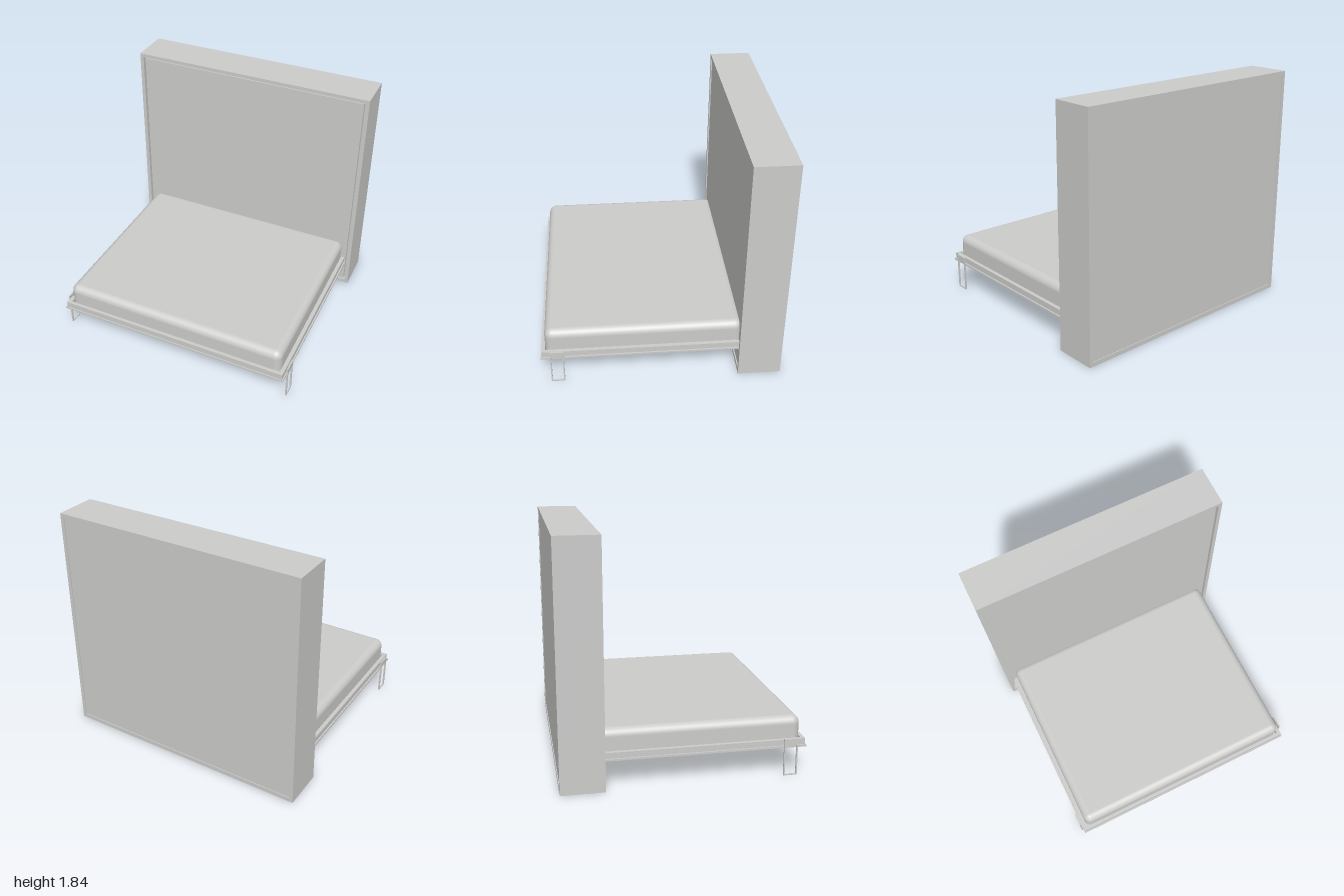
import * as THREE from 'three';
import { RoundedBoxGeometry } from 'three/addons/geometries/RoundedBoxGeometry.js';

export function createModel() {
  const grey = new THREE.MeshStandardMaterial({ color: 0xcccccb });
  grey.name = 'light grey';
  const model = new THREE.Group();
  model.name = 'wallBed';

  // Box given by its min and max corners
  function box(name, x0, x1, y0, y1, z0, z1, parent) {
    const mesh = new THREE.Mesh(new THREE.BoxGeometry(x1 - x0, y1 - y0, z1 - z0), grey);
    mesh.position.set((x0 + x1) / 2, (y0 + y1) / 2, (z0 + z1) / 2);
    mesh.name = name;
    parent.add(mesh);
    return mesh;
  }
  function group(name) {
    const g = new THREE.Group();
    g.name = name;
    model.add(g);
    return g;
  }

  // Cabinet: carcass around front and back panels, with a narrow shadow gap at the front
  const cabinet = group('cabinet');
  const back = -0.92, front = -0.59;
  box('rightSide', -1, -0.97, 0, 1.84, back, front, cabinet);
  box('leftSide', 0.97, 1, 0, 1.84, back, front, cabinet);
  box('topBoard', -0.97, 0.97, 1.81, 1.84, back, front, cabinet);
  box('bottomBoard', -0.97, 0.97, 0, 0.035, back, front, cabinet);
  box('frontPanel', -0.956, 0.956, 0.04, 1.8, -0.63, front - 0.008, cabinet);
  box('innerBoard', -0.97, 0.97, 0.035, 1.81, -0.65, -0.63, cabinet);
  box('backPanel', -0.97, 0.97, 0.035, 1.81, back + 0.006, -0.9, cabinet);

  // Bed frame: base board with rails set in from its edge
  const frame = group('bedFrame');
  box('baseBoard', -0.956, 0.956, 0.215, 0.23, -0.62, 0.92, frame);
  box('frontRail', -0.945, 0.945, 0.23, 0.277, 0.885, 0.912, frame);
  for (const s of [-1, 1]) {
    const x = s * 0.93;
    box(s > 0 ? 'leftRail' : 'rightRail', x - 0.015, x + 0.015, 0.23, 0.275, -0.62, 0.885, frame);
  }

  // Folding legs: thin rectangular loops hung from side plates
  for (const s of [-1, 1]) {
    const leg = group(s > 0 ? 'leftLeg' : 'rightLeg');
    const x0 = s * 0.962 - 0.006, x1 = s * 0.962 + 0.006;
    box('legPlate', x0, x1, 0.235, 0.285, 0.745, 0.85, leg);
    box('legBackBar', x0, x1, 0, 0.24, 0.745, 0.755, leg);
    box('legFrontBar', x0, x1, 0, 0.24, 0.84, 0.85, leg);
    box('legFoot', x0, x1, 0, 0.009, 0.755, 0.84, leg);
  }

  // Mattress: soft rounded block, flattened underneath where it meets the base board
  const geo = new RoundedBoxGeometry(1.83, 0.28, 1.51, 6, 0.06);
  geo.translate(0, 0.301, 0.131);
  const p = geo.attributes.position;
  for (let i = 0; i < p.count; i++) p.setY(i, Math.max(p.getY(i), 0.23));
  const mattress = new THREE.Mesh(geo, grey);
  mattress.name = 'mattress';
  model.add(mattress);

  return model;
}
